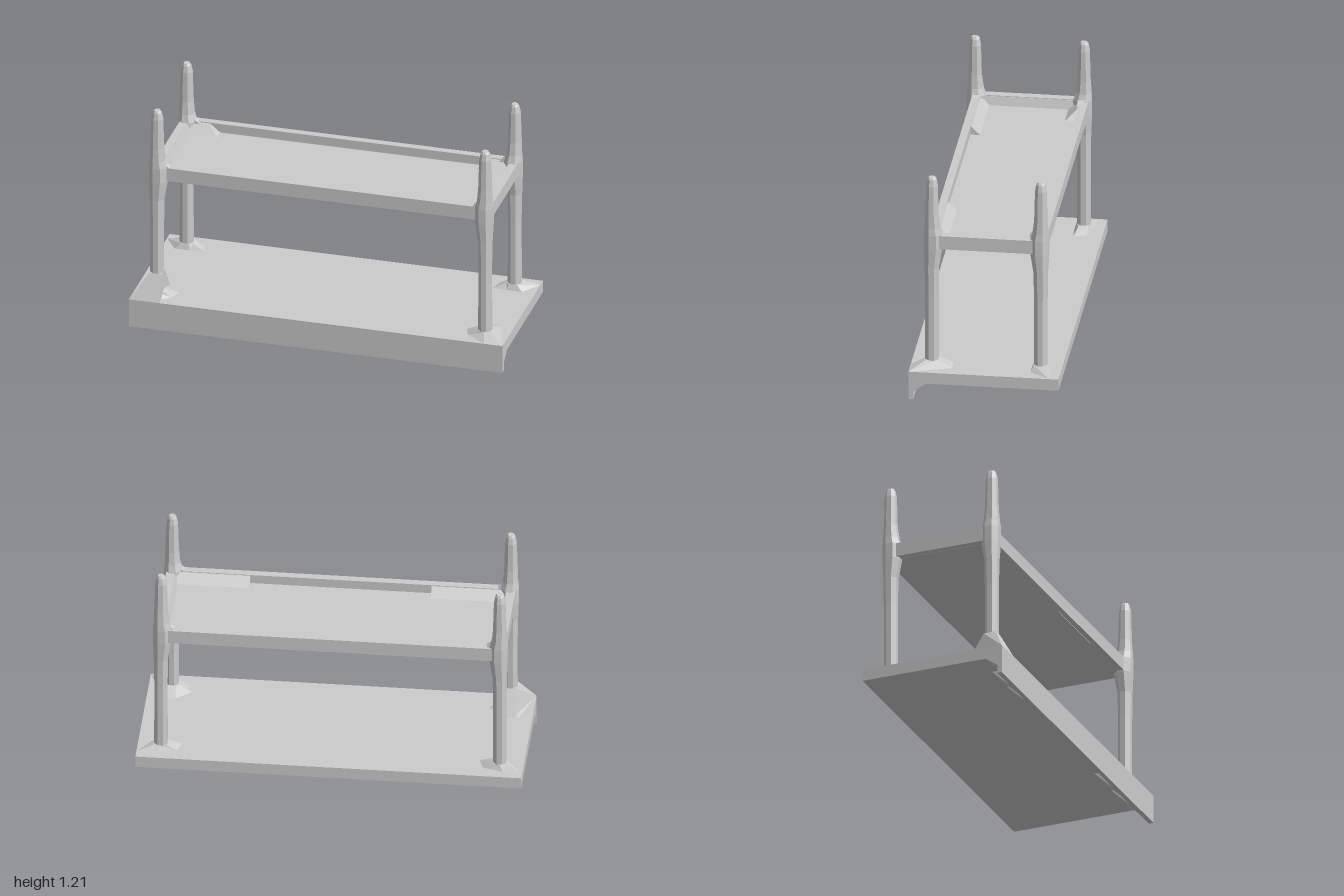
import * as THREE from 'three';

const material = new THREE.MeshStandardMaterial({ color: 0xcccccc, flatShading: true });

// Solid through stacked rings; each ring is { y, pts: [[x, z], ...] }
function loft(rings) {
  const n = rings[0].pts.length;
  let area = 0;
  rings[0].pts.forEach(([x, z], i, p) => {
    const [x2, z2] = p[(i + 1) % n];
    area += x * z2 - x2 * z;
  });
  const pos = [];
  const tri = (a, b, c) => pos.push(...a, ...(area > 0 ? b : c), ...(area > 0 ? c : b));
  const at = (r, i) => [r.pts[i % n][0], r.y, r.pts[i % n][1]];
  for (let k = 0; k < rings.length - 1; k++) {
    const lo = rings[k], hi = rings[k + 1];
    for (let i = 0; i < n; i++) {
      tri(at(lo, i), at(hi, i), at(lo, i + 1));
      tri(at(lo, i + 1), at(hi, i), at(hi, i + 1));
    }
  }
  const bottom = rings[0], top = rings[rings.length - 1];
  for (let i = 1; i < n - 1; i++) {
    tri(at(bottom, 0), at(bottom, i), at(bottom, i + 1));
    tri(at(top, 0), at(top, i + 1), at(top, i));
  }
  const g = new THREE.BufferGeometry();
  g.setAttribute('position', new THREE.Float32BufferAttribute(pos, 3));
  g.computeVertexNormals();
  return g;
}

const rect = (x0, x1, z0, z1) => [[x0, z0], [x1, z0], [x1, z1], [x0, z1]];

// Profile in (z, y) swept along x
function sweepX(profile, x0, x1) {
  const shape = new THREE.Shape(profile.map(([z, y]) => new THREE.Vector2(z, y)));
  const g = new THREE.ExtrudeGeometry(shape, { depth: x1 - x0, bevelEnabled: false });
  return g.rotateY(-Math.PI / 2).translate(x1, 0, 0);
}

// Octagon with flats facing the axes
function octagon(cx, cz, rx, rz) {
  const k = 1 / Math.cos(Math.PI / 8);
  return Array.from({ length: 8 }, (_, i) => {
    const a = (i + 0.5) * Math.PI / 4;
    return [cx + rx * k * Math.cos(a), cz + rz * k * Math.sin(a)];
  });
}

export function createModel() {
  const model = new THREE.Group();
  const add = (name, geometry) => {
    const mesh = new THREE.Mesh(geometry, material);
    mesh.name = name;
    model.add(mesh);
  };

  // Base slab with a deep front lip
  add('baseSlab', sweepX([
    [0.39, 0], [0.39, 0.155], [-0.39, 0.155], [-0.39, 0.092],
    [0.30, 0.092], [0.365, 0.045], [0.365, 0],
  ], -1, 1));

  // Wedges stiffening the lip from behind
  for (const [x, w] of [[0.8, 0.13], [0.57, 0.12], [-0.6, 0.09], [-0.78, 0.12]]) {
    add('lipWedge', sweepX([[0.37, 0], [0.37, 0.093], [0.266, 0.093], [0.36, 0.005]], x - w / 2, x + w / 2));
  }

  // Posts: y, half width x, half width z, inward shift
  const postRings = [
    [0.15, 0.034, 0.034, 0],
    [0.55, 0.033, 0.034, 0],
    [0.70, 0.036, 0.036, 0],
    [0.81, 0.046, 0.047, 0.006],
    [0.89, 0.046, 0.047, 0.006],
    [0.93, 0.038, 0.040, 0.002],
    [1.00, 0.034, 0.033, 0],
    [1.165, 0.029, 0.029, 0],
    [1.20, 0.022, 0.023, 0],
    [1.212, 0.015, 0.017, 0],
  ];
  for (const sx of [-1, 1]) {
    for (const sz of [-1, 1]) {
      const place = (pts) => pts.map(([x, z]) => [sx * x, sz * z]);
      add('post', loft(postRings.map(([y, rx, rz, shift]) => ({
        y, pts: place(octagon(0.878 - shift, 0.283 - shift, rx, rz)),
      }))));

      // Low spreading foot, longer at the front
      const inner = sz > 0 ? 0.17 : 0.235, outer = sz > 0 ? 0.39 : 0.34;
      add('postFoot', loft([
        { y: 0.154, pts: place([[0.77, 0.24], [0.85, inner], [0.93, inner], [1, outer], [0.9, outer], [0.79, 0.31]]) },
        { y: 0.185, pts: place([[0.84, 0.26], [0.855, 0.248], [0.9, 0.248], [0.914, 0.315], [0.88, 0.318], [0.845, 0.31]]) },
      ]));

      // Small brackets tying the posts to the shelf rails
      add('railBracketX', loft([
        { y: 0.88, pts: place(rect(0.80, 0.88, 0.255, 0.295)) },
        { y: 0.905, pts: place(rect(0.835, 0.88, 0.257, 0.293)) },
      ]));
    }
  }

  // Tall gusset on the front right post
  add('postGusset', loft([
    { y: 0.154, pts: [[-1, 0.39], [-0.84, 0.39], [-0.84, 0.17], [-0.91, 0.17]] },
    { y: 0.285, pts: [[-0.912, 0.317], [-0.845, 0.317], [-0.845, 0.25], [-0.908, 0.25]] },
  ]));

  // Shelf frame: four rails around an opening
  const frame = new THREE.Shape(rect(-0.905, 0.905, -0.295, 0.31).map(([x, y]) => new THREE.Vector2(x, y)));
  frame.holes.push(new THREE.Path(rect(-0.86, 0.86, -0.255, 0.27).map(([x, y]) => new THREE.Vector2(x, y))));
  add('shelfRails', new THREE.ExtrudeGeometry(frame, { depth: 0.074, bevelEnabled: false })
    .rotateX(-Math.PI / 2).translate(0, 0.815, 0));

  // Sunken shelf panel
  add('shelfPanel', new THREE.BoxGeometry(1.74, 0.026, 0.545).translate(0, 0.827, -0.008));

  // Sloped fillets inside the shelf tray
  for (const sx of [-1, 1]) {
    const fillet = (name, low, high) => add(name, loft([
      { y: 0.835, pts: low.map(([x, z]) => [sx * x, z]) },
      { y: 0.885, pts: high.map(([x, z]) => [sx * x, z]) },
    ]));
    fillet('sideFillet', rect(0.84, 0.865, -0.27, 0.255), rect(0.857, 0.865, -0.27, 0.255));
    fillet('frontFillet', rect(0.47, 0.865, 0.20, 0.26), rect(0.47, 0.865, 0.25, 0.26));
    fillet('backCornerFillet', rect(0.69, 0.865, -0.275, -0.20), rect(0.75, 0.865, -0.275, -0.262));
  }

  return model;
}
